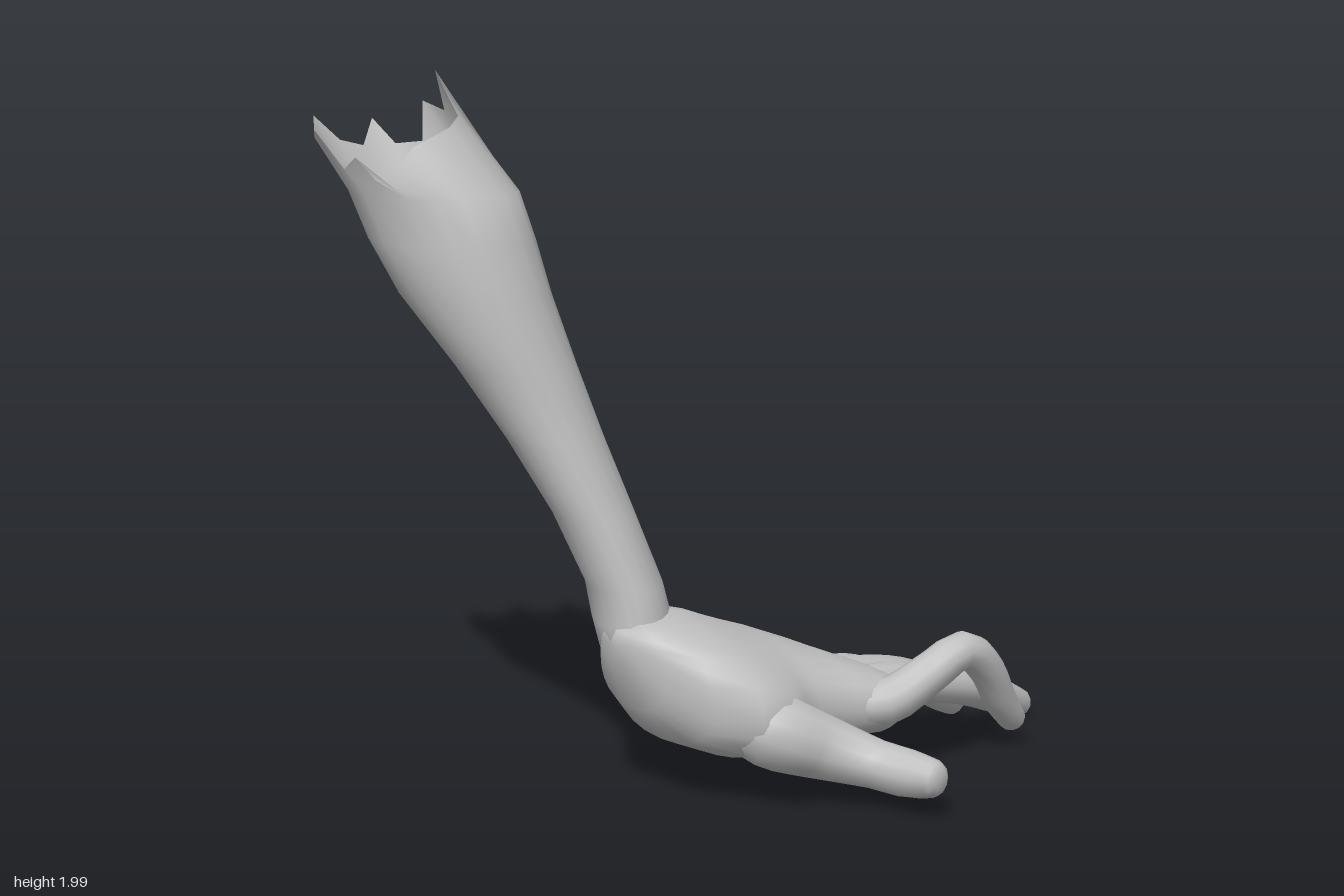
import * as THREE from 'three';

const skin = new THREE.MeshStandardMaterial({ color: 0xc0c0c0 });
skin.name = 'grey skin';
skin.side = THREE.DoubleSide;

// Skin a list of equal-sized rings; the last one (and optionally the first) is closed with a fan.
function loft(name, rings, capStart) {
  const n = rings[0].length, pos = [], index = [];
  rings.forEach(r => r.forEach(p => pos.push(p.x, p.y, p.z)));
  for (let i = 0; i < rings.length - 1; i++) {
    for (let j = 0; j < n; j++) {
      const a = i * n + j, b = i * n + (j + 1) % n;
      index.push(a, b, a + n, b, b + n, a + n);
    }
  }
  const cap = (ring, first, flip) => {
    const c = new THREE.Vector3();
    ring.forEach(p => c.addScaledVector(p, 1 / n));
    const k = pos.length / 3;
    pos.push(c.x, c.y, c.z);
    for (let j = 0; j < n; j++) {
      const a = first + j, b = first + (j + 1) % n;
      if (flip) index.push(b, a, k); else index.push(a, b, k);
    }
  };
  cap(rings[rings.length - 1], (rings.length - 1) * n, false);
  if (capStart) cap(rings[0], 0, true);
  const g = new THREE.BufferGeometry();
  g.setAttribute('position', new THREE.Float32BufferAttribute(pos, 3));
  g.setIndex(index);
  g.computeVertexNormals();
  const mesh = new THREE.Mesh(g, skin);
  mesh.name = name;
  return mesh;
}

// Torn rim of the forearm, one point per side
const RIM = [
  [-0.545, 1.88, -0.58], [-0.6, 2.0, -0.55], [-0.625, 1.93, -0.46], [-0.65, 1.89, -0.39],
  [-0.70, 1.865, -0.365], [-0.75, 1.845, -0.37], [-0.81, 1.82, -0.385], [-0.85, 1.77, -0.40],
  [-0.89, 1.73, -0.45], [-0.92, 1.79, -0.5], [-0.905, 1.75, -0.57], [-0.94, 1.85, -0.65],
  [-0.89, 1.82, -0.72], [-0.83, 1.87, -0.805], [-0.77, 1.8, -0.765], [-0.70, 1.78, -0.75],
  [-0.645, 1.85, -0.78], [-0.61, 1.78, -0.72], [-0.57, 1.79, -0.65], [-0.55, 1.9, -0.67],
];

// Forearm slices down to the wrist: y, xMin, xMax, zMin, zMax, skew of the oval
const ARM = [
  [1.68, -0.88, -0.475, -0.70, -0.235, -0.2], [1.55, -0.855, -0.455, -0.645, -0.195, -0.2],
  [1.4, -0.81, -0.43, -0.575, -0.155, -0.12], [1.2, -0.71, -0.385, -0.455, -0.105, 0],
  [1.0, -0.625, -0.345, -0.335, -0.045, 0.1], [0.8, -0.55, -0.305, -0.24, 0.035, 0.2],
  [0.6, -0.495, -0.25, -0.175, 0.10, 0.3], [0.5, -0.495, -0.24, -0.15, 0.13, 0.3],
  [0.42, -0.485, -0.24, -0.125, 0.14, 0.3], [0.3, -0.42, -0.25, -0.07, 0.13, 0.3],
];

function forearm() {
  const rings = [RIM.map(p => new THREE.Vector3(...p))];
  ARM.forEach(([y, x0, x1, z0, z1, skew]) => rings.push(RIM.map((_, j) => {
    const t = j / RIM.length * Math.PI * 2;
    return new THREE.Vector3((x0 + x1) / 2 + (x1 - x0) / 2 * Math.cos(t), y,
      (z0 + z1) / 2 + (z1 - z0) / 2 * Math.sin(t - skew));
  })));
  return loft('forearm', rings, false);
}

// Palm slices from heel to knuckles: x, zMin, zMax, yMin, yMax, tilt
const PALM = [
  [-0.49, 0.0, 0.12, 0.40, 0.50, 0], [-0.45, -0.05, 0.22, 0.27, 0.52, -0.1],
  [-0.39, -0.08, 0.35, 0.18, 0.515, -0.2], [-0.30, -0.11, 0.455, 0.145, 0.505, -0.28],
  [-0.2, -0.115, 0.47, 0.13, 0.475, -0.26], [-0.11, -0.1, 0.43, 0.12, 0.445, -0.22],
  [-0.03, -0.08, 0.405, 0.115, 0.42, -0.18], [0.1, -0.04, 0.44, 0.11, 0.37, -0.1],
  [0.2, -0.01, 0.475, 0.11, 0.325, -0.03], [0.27, 0.015, 0.46, 0.13, 0.295, 0],
  [0.32, 0.05, 0.40, 0.16, 0.27, 0], [0.36, 0.10, 0.34, 0.19, 0.245, 0],
];

function palm() {
  const n = 24, round = v => Math.sign(v) * Math.pow(Math.abs(v), 0.85);
  const rings = PALM.map(([x, z0, z1, y0, y1, tilt]) => Array.from({ length: n }, (_, j) => {
    const t = j / n * Math.PI * 2, dz = (z1 - z0) / 2 * round(Math.sin(t));
    const lean = tilt * dz * (0.65 + 0.35 * Math.cos(t));
    return new THREE.Vector3(x, (y0 + y1) / 2 + (y1 - y0) / 2 * round(Math.cos(t)) + lean,
      (z0 + z1) / 2 + dz);
  }));
  return loft('palm', rings, true);
}

// Digit: round section swept through joints [x, y, z, radius], with a rounded tip
function digit(name, joints, sides = 12) {
  const curve = new THREE.CatmullRomCurve3(joints.map(j => new THREE.Vector3(j[0], j[1], j[2])));
  const steps = (joints.length - 1) * 3, rings = [];
  const frames = curve.computeFrenetFrames(steps);
  const ring = (c, i, r) => rings.push(Array.from({ length: sides }, (_, j) => {
    const t = j / sides * Math.PI * 2;
    return c.clone().addScaledVector(frames.normals[i], r * Math.cos(t))
      .addScaledVector(frames.binormals[i], r * Math.sin(t));
  }));
  const lengths = curve.getLengths(steps * 8);
  const total = lengths[lengths.length - 1];
  const at = joints.map((_, k) => lengths[Math.round(k / (joints.length - 1) * steps * 8)] / total);
  for (let i = 0; i <= steps; i++) {
    const u = i / steps;
    let k = 0;
    while (k < joints.length - 2 && u > at[k + 1]) k++;
    const f = (u - at[k]) / (at[k + 1] - at[k]);
    ring(curve.getPointAt(u), i, THREE.MathUtils.lerp(joints[k][3], joints[k + 1][3], f));
  }
  const end = joints[joints.length - 1];
  const tip = new THREE.Vector3(end[0], end[1], end[2]);
  [[0.3, 0.85], [0.5, 0.5]].forEach(([d, s]) =>
    ring(tip.clone().addScaledVector(frames.tangents[steps], d * end[3]), steps, end[3] * s));
  return loft(name, rings, true);
}

export function createModel() {
  const group = new THREE.Group();
  group.name = 'forearmAndHand';
  group.add(forearm(), palm());
  group.add(digit('thumb', [
    [-0.32, 0.29, 0.24, 0.07], [-0.21, 0.225, 0.395, 0.112], [-0.085, 0.165, 0.485, 0.09],
    [-0.01, 0.13, 0.59, 0.07], [0.022, 0.118, 0.70, 0.068], [0.028, 0.122, 0.775, 0.054]]));
  group.add(digit('indexFinger', [
    [0.04, 0.24, 0.33, 0.05], [0.2, 0.225, 0.425, 0.068], [0.32, 0.29, 0.475, 0.06],
    [0.43, 0.352, 0.515, 0.055], [0.53, 0.275, 0.515, 0.052], [0.61, 0.165, 0.497, 0.05],
    [0.68, 0.088, 0.485, 0.041]]));
  group.add(digit('middleFinger', [
    [0.12, 0.24, 0.31, 0.06], [0.32, 0.23, 0.315, 0.066], [0.48, 0.202, 0.33, 0.056],
    [0.64, 0.162, 0.337, 0.058], [0.78, 0.105, 0.325, 0.056], [0.90, 0.05, 0.315, 0.044]]));
  group.add(digit('ringFinger', [
    [0.12, 0.24, 0.19, 0.06], [0.32, 0.225, 0.19, 0.064], [0.46, 0.205, 0.197, 0.055],
    [0.58, 0.16, 0.2, 0.055], [0.68, 0.1, 0.187, 0.051], [0.78, 0.045, 0.155, 0.041]]));
  group.add(digit('littleFinger', [
    [0.12, 0.22, 0.08, 0.055], [0.32, 0.212, 0.082, 0.058], [0.43, 0.195, 0.084, 0.05],
    [0.51, 0.135, 0.077, 0.05], [0.56, 0.04, 0.05, 0.04]]));
  return group;
}
